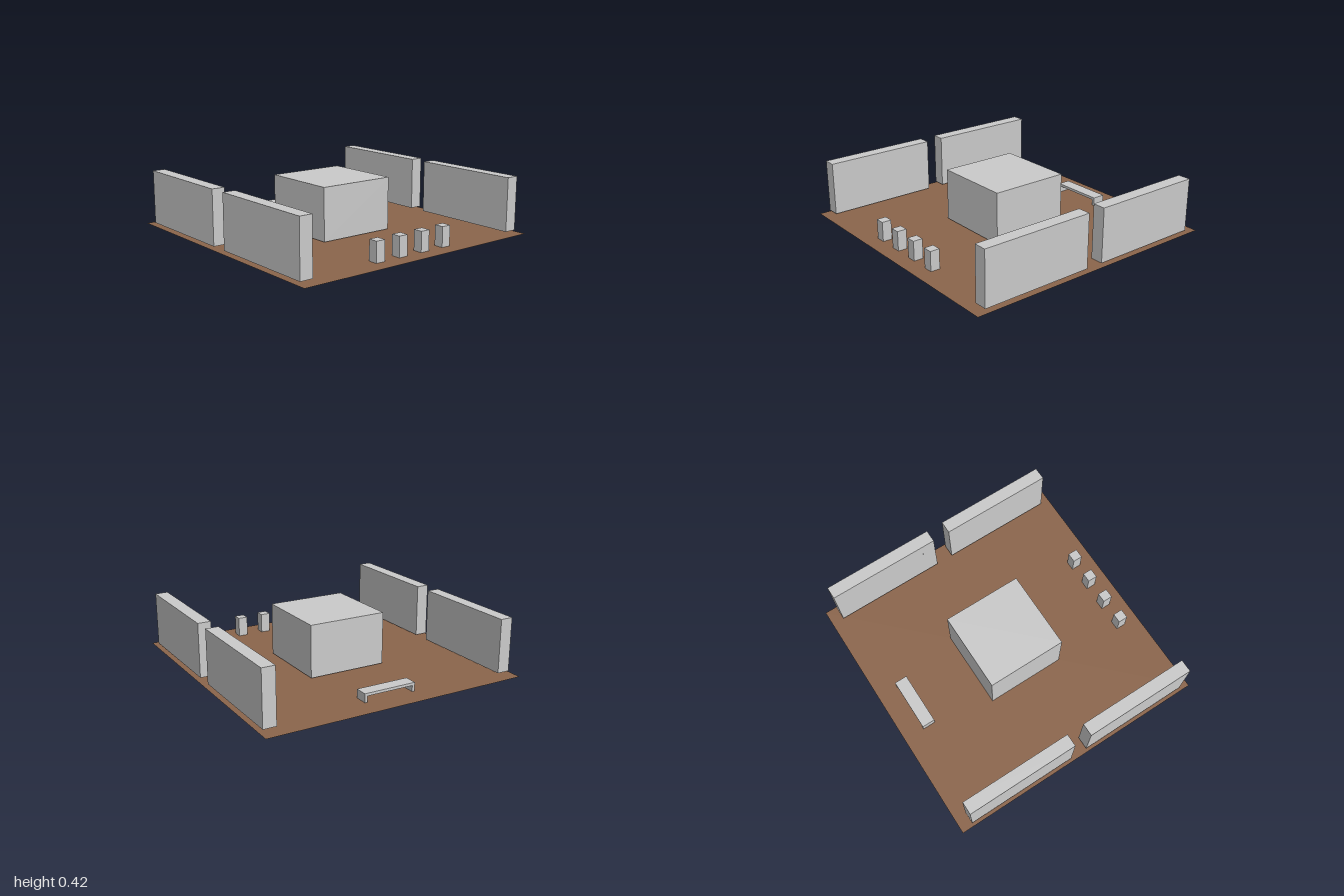
import * as THREE from 'three';

export function createModel() {
  const model = new THREE.Group();
  const grey = new THREE.MeshStandardMaterial({ color: 0xcccccc, name: 'pale grey' });
  const brown = new THREE.MeshStandardMaterial({ color: 0x8c664c, name: 'earth brown', side: THREE.DoubleSide });

  // Box from its size, the height of its underside and its centre on the floor
  function block(name, parent, [w, h, d], x, bottom, z) {
    const mesh = new THREE.Mesh(new THREE.BoxGeometry(w, h, d), grey);
    mesh.name = name;
    mesh.position.set(x, bottom + h / 2, z);
    parent.add(mesh);
    return mesh;
  }

  // Thin ground sheet
  const ground = new THREE.Mesh(new THREE.PlaneGeometry(2, 2), brown);
  ground.name = 'ground';
  ground.rotation.x = -Math.PI / 2;
  ground.position.y = 0.002;
  model.add(ground);

  // Central building
  block('centralBlock', model, [0.596, 0.39, 0.596], -0.002, 0.01, -0.002);

  // Two long walls along each side
  for (const [side, x] of [['right', -0.929], ['left', 0.926]]) {
    block(`${side}BackWall`, model, [0.096, 0.4, 0.85], x, 0.02, -0.482);
    block(`${side}FrontWall`, model, [0.096, 0.4, 0.85], x, 0.02, 0.5);
  }

  // Tiny knob on the inner face of the left back wall
  block('wallKnob', model, [0.006, 0.006, 0.006], 0.877, 0.308, -0.16);

  // Row of posts along the front
  for (let i = 0; i < 4; i++) {
    block(`post${i + 1}`, model, [0.072, 0.15, 0.072], -0.301 + i * 0.2, 0, 0.849);
  }

  // Low bench at the back: a seat slab on two end panels
  const bench = new THREE.Group();
  bench.name = 'bench';
  bench.position.set(-0.002, 0, -0.793);
  block('benchSeat', bench, [0.4, 0.02, 0.097], 0, 0.047, 0);
  for (const s of [-1, 1]) block('benchLeg', bench, [0.02, 0.044, 0.097], s * 0.19, 0.003, 0);
  model.add(bench);

  return model;
}
